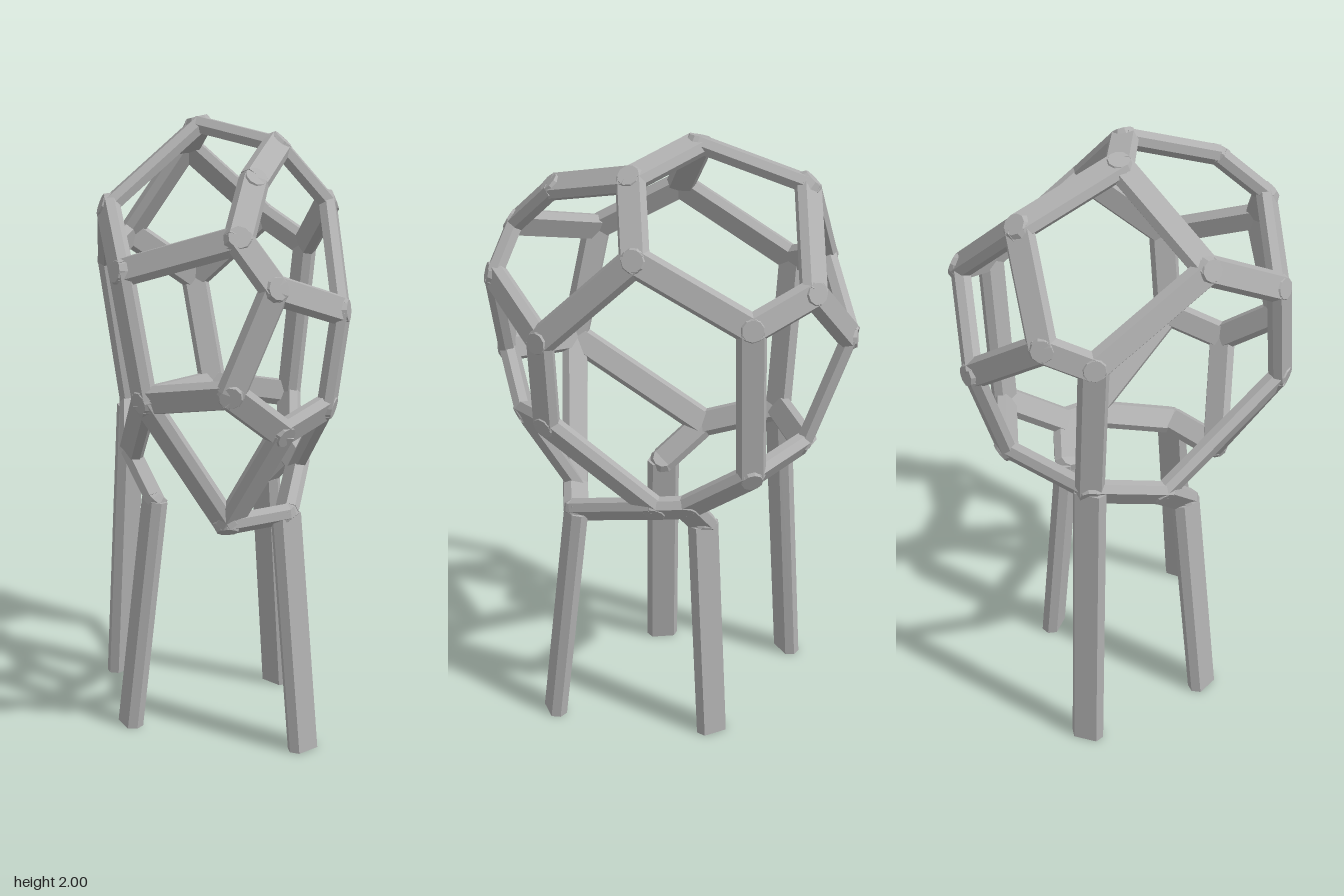
import * as THREE from 'three';

// Joints of the cage: x, y, z
const J = {
  crownBack: [-0.05, 1.865, -0.41], crown: [-0.05, 1.97, -0.07], crownFront: [0.18, 1.92, 0.09],
  browBend: [0.065, 1.84, 0.36], brow: [0.0, 1.69, 0.51], cheek: [0.1, 1.55, 0.555],
  chin: [-0.03, 1.24, 0.56], throat: [0.14, 1.09, 0.46], frontBottom: [-0.01, 0.765, 0.34],
  leftTop: [0.35, 1.73, 0.04], leftFrontTop: [0.34, 1.44, 0.34], leftFrontLow: [0.3, 1.14, 0.34],
  leftBackTop: [0.34, 1.54, -0.31], leftBackLow: [0.29, 1.02, -0.31],
  leftBottom: [0.27, 0.86, 0.0], leftBottomBack: [0.26, 0.87, -0.1],
  rightTop: [-0.35, 1.73, 0.05], rightFrontTop: [-0.33, 1.57, 0.33], rightFrontLow: [-0.27, 1.19, 0.4],
  rightBackTop: [-0.33, 1.51, -0.33], rightBackLow: [-0.26, 1.0, -0.31], rightBottom: [-0.28, 0.9, -0.05],
  backLeft: [0.22, 1.62, -0.475], backRight: [-0.245, 1.57, -0.45],
  backTip: [-0.01, 1.39, -0.565], backLow: [0.04, 1.03, -0.44],
  hipFrontLeft: [0.185, 0.775, 0.285], hipBackLeft: [0.185, 0.775, -0.14], hipFrontRight: [-0.215, 0.775, 0.08],
};

// Chains of joints linked by struts
const CHAINS = [
  'crownBack crown crownFront browBend brow cheek chin throat frontBottom',
  'crownFront leftTop leftFrontTop leftFrontLow leftBottom leftBottomBack leftBackLow leftBackTop leftTop',
  'cheek leftFrontTop', 'throat leftFrontLow',
  'crown rightTop rightFrontTop rightFrontLow rightBottom rightBackLow rightBackTop rightTop',
  'brow rightFrontTop', 'chin rightFrontLow frontBottom hipFrontLeft leftBottom',
  'crownBack backLeft backTip backRight crownBack', 'backLeft leftBackTop', 'backRight rightBackTop',
  'backTip backLow leftBackLow', 'backLow rightBackLow',
  'leftBottomBack hipBackLeft', 'rightBottom hipFrontRight',
];

// Legs: top joint and foot
const LEGS = {
  frontLeftLeg: ['hipFrontLeft', [0.235, 0, 0.365]], backLeftLeg: ['hipBackLeft', [0.235, 0, -0.185]],
  frontRightLeg: ['hipFrontRight', [-0.305, 0, 0.105]], backRightLeg: ['rightBackLow', [-0.305, 0, -0.36]],
};

const HALF_W = 0.047, HALF_T = 0.025;
const vec = (a) => new THREE.Vector3(...a);

// Outward direction on the egg-shaped cage
const outward = (p) => new THREE.Vector3(p.x / 0.137, (p.y - 1.37) / 0.37, p.z / 0.33).normalize();

// Flat six-sided bar from a to b, its wide face turned towards n
function bar(a, b, n, w, t) {
  const s = new THREE.Shape([[w, 0], [0.72 * w, t], [-0.72 * w, t], [-w, 0], [-0.72 * w, -t], [0.72 * w, -t]]
    .map(([x, y]) => new THREE.Vector2(x, y)));
  const g = new THREE.ExtrudeGeometry(s, { depth: a.distanceTo(b), bevelEnabled: false });
  const dir = b.clone().sub(a).normalize();
  const side = n.clone().cross(dir).normalize();
  const up = dir.clone().cross(side);
  return g.applyMatrix4(new THREE.Matrix4().makeBasis(side, up, dir).setPosition(a));
}

export function createModel() {
  const group = new THREE.Group();
  const grey = new THREE.MeshStandardMaterial({ color: 0xb0b0b0, flatShading: true });
  grey.name = 'grey';
  const add = (name, geometry, parent) => {
    const m = new THREE.Mesh(geometry, grey);
    m.name = name;
    parent.add(m);
    return m;
  };

  // Cage struts
  const cage = new THREE.Group();
  cage.name = 'cage';
  group.add(cage);
  for (const chain of CHAINS) {
    const names = chain.split(' ');
    for (let i = 1; i < names.length; i++) {
      const a = vec(J[names[i - 1]]), b = vec(J[names[i]]);
      add('strut', bar(a, b, outward(a.clone().add(b).multiplyScalar(0.5)), HALF_W, HALF_T), cage);
    }
  }

  // Bevelled joint discs where struts meet
  const w = HALF_W, t = HALF_T;
  const disc = new THREE.LatheGeometry([[0, -t], [0.72 * w, -t], [w, 0], [0.72 * w, t], [0, t]]
    .map(([x, y]) => new THREE.Vector2(x, y)), 10);
  for (const name in J) {
    const p = vec(J[name]);
    const m = add('joint', disc, cage);
    m.position.copy(p);
    m.quaternion.setFromUnitVectors(new THREE.Vector3(0, 1, 0), outward(p));
  }

  // Splayed legs, feet cut level with the ground
  for (const name in LEGS) {
    const top = vec(J[LEGS[name][0]]), foot = vec(LEGS[name][1]);
    const g = bar(foot, top, new THREE.Vector3(foot.x, 0, foot.z).normalize(), 0.055, 0.028);
    const pos = g.attributes.position;
    for (let i = 0; i < pos.count; i++) if (pos.getY(i) < 0.1) pos.setY(i, 0);
    g.computeVertexNormals();
    add(name, g, group);
  }
  return group;
}
